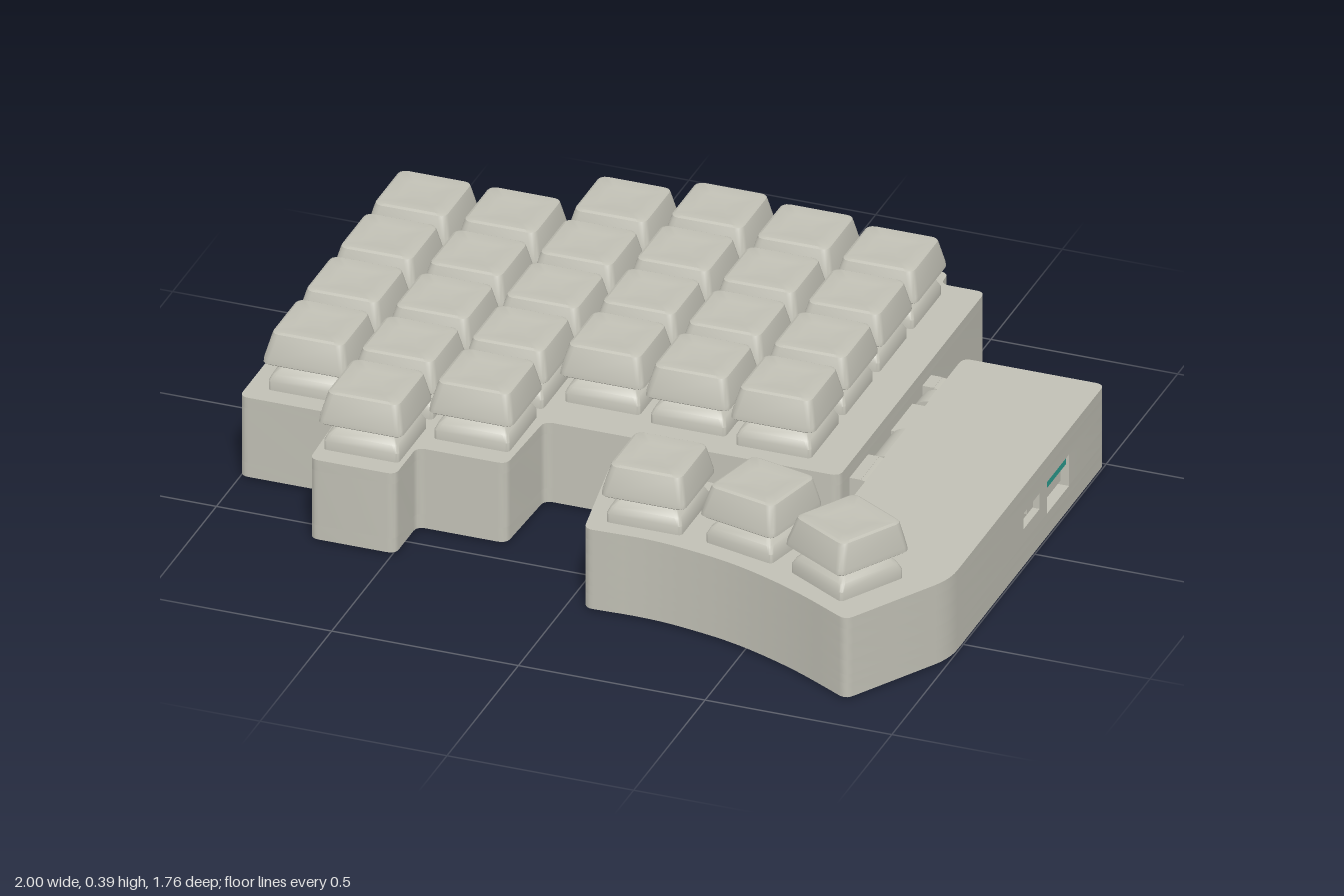
import * as THREE from 'three';
import { toCreasedNormals } from 'three/addons/utils/BufferGeometryUtils.js';

const body = new THREE.MeshStandardMaterial({ color: 0xc1c0b5 });
body.name = 'warm grey plastic';
const teal = new THREE.MeshStandardMaterial({ color: 0x2a9d8f });
teal.name = 'teal circuit board';

function add(parent, name, geo, mat = body) {
  const m = new THREE.Mesh(geo, mat);
  m.name = name;
  parent.add(m);
  return m;
}

function block(parent, name, x0, x1, y0, y1, z0, z1, mat = body) {
  const m = add(parent, name, new THREE.BoxGeometry(x1 - x0, y1 - y0, z1 - z0), mat);
  m.position.set((x0 + x1) / 2, (y0 + y1) / 2, (z0 + z1) / 2);
  return m;
}

// Polygon of [x, z, radius] corners with rounded corners
function roundedShape(pts, radius) {
  const s = new THREE.Shape();
  const n = pts.length;
  const V = (p) => new THREE.Vector2(p[0], p[1]);
  pts.forEach((p, i) => {
    const c = V(p), a = V(pts[(i + n - 1) % n]), b = V(pts[(i + 1) % n]);
    const r = Math.min(p[2] ?? radius, c.distanceTo(a) * 0.45, c.distanceTo(b) * 0.45);
    const start = c.clone().add(a.sub(c).setLength(r));
    const end = c.clone().add(b.sub(c).setLength(r));
    if (i === 0) s.moveTo(start.x, start.y); else s.lineTo(start.x, start.y);
    if (r > 0) s.quadraticCurveTo(c.x, c.y, end.x, end.y);
  });
  s.closePath();
  return s;
}

// Horizontal slab between two heights
function slab(parent, name, pts, y0, y1, radius = 0.025) {
  const g = new THREE.ExtrudeGeometry(roundedShape(pts, radius), { depth: y1 - y0, bevelEnabled: false, curveSegments: 5 });
  g.rotateX(Math.PI / 2);
  g.translate(0, y1, 0);
  add(parent, name, toCreasedNormals(g, 0.6));
}

// Loft through rounded squares [y, halfSize, radius, zShift], closed at both ends
function squareLoft(rings) {
  const pos = [], idx = [], per = 4, n = per * 4;
  for (const [y, h, r, dz = 0] of rings) {
    for (let q = 0; q < 4; q++) for (let k = 0; k < per; k++) {
      const a = (q + k / (per - 1)) * Math.PI / 2;
      const sx = q === 0 || q === 3 ? 1 : -1, sz = q < 2 ? 1 : -1;
      pos.push(sx * (h - r) + r * Math.cos(a), y, sz * (h - r) + r * Math.sin(a) + dz);
    }
  }
  for (let j = 0; j < rings.length - 1; j++) for (let i = 0; i < n; i++) {
    const a = j * n + i, b = j * n + (i + 1) % n;
    idx.push(a, a + n, b, b, a + n, b + n);
  }
  const last = (rings.length - 1) * n;
  for (let i = 1; i < n - 1; i++) {
    idx.push(0, i, i + 1);
    idx.push(last, last + i + 1, last + i);
  }
  const g = new THREE.BufferGeometry();
  g.setAttribute('position', new THREE.Float32BufferAttribute(pos, 3));
  g.setIndex(idx);
  return toCreasedNormals(g, 0.6);
}

const capGeo = squareLoft([
  [0.302, 0.108, 0.015], [0.306, 0.113, 0.018], [0.318, 0.112, 0.018], [0.372, 0.099, 0.02, -0.004],
  [0.382, 0.096, 0.02, -0.005], [0.386, 0.089, 0.02, -0.005], [0.382, 0.055, 0.02, -0.005], [0.38, 0.02, 0.01, -0.005],
]);
const switchGeo = squareLoft([
  [0.222, 0.101, 0.01], [0.25, 0.101, 0.01], [0.268, 0.093, 0.012], [0.283, 0.08, 0.012],
  [0.294, 0.062, 0.012], [0.304, 0.055, 0.012],
]);

function key(parent, x, z, turn = 0) {
  const g = new THREE.Group();
  g.name = 'key';
  g.position.set(x, 0, z);
  g.rotation.y = turn;
  add(g, 'keySwitch', switchGeo);
  add(g, 'keycap', capGeo);
  parent.add(g);
}

// Board, socket and side walls seen inside a rear opening
function rearSocket(parent, x, z) {
  block(parent, 'socketBoard', x - 0.05, x + 0.05, 0.15, 0.185, z + 0.012, z + 0.11, teal);
  block(parent, 'socketBody', x - 0.045, x + 0.045, 0.105, 0.15, z + 0.03, z + 0.11);
  for (const s of [-1, 1]) block(parent, 'socketSide', x + s * 0.04 - 0.008, x + s * 0.04 + 0.008, 0.04, 0.11, z + 0.03, z + 0.11);
}

function screws(parent, list) {
  for (const [x, z] of list) {
    const m = add(parent, 'screwHead', new THREE.SphereGeometry(0.017, 12, 8));
    m.scale.y = 0.5;
    m.position.set(x, 0.002, z);
  }
}

function mainHalf() {
  const g = new THREE.Group();
  g.name = 'mainKeyPad';
  const notch = [[0.28, -0.89, 0], [0.28, -0.77, 0], [0.38, -0.77, 0], [0.38, -0.89, 0]];
  const outline = (open) => [
    [-1, -0.68], [-0.49, -0.68], [-0.485, -0.83], [-0.245, -0.83], [-0.24, -0.89], [-0.005, -0.89], [0, -0.86],
    [0.21, -0.86], [0.235, -0.89], ...(open ? notch : []), [0.43, -0.89], [0.43, -0.83], [0.55, -0.83], [0.55, 0.19],
    [-0.24, 0.19], [-0.25, 0.43], [-0.49, 0.43], [-0.49, 0.58], [-0.72, 0.58], [-0.73, 0.34], [-1, 0.34],
  ];
  slab(g, 'caseBottom', outline(false), 0, 0.04);
  slab(g, 'caseWalls', outline(true), 0.04, 0.195);
  slab(g, 'caseTop', outline(false), 0.195, 0.226);
  rearSocket(g, 0.33, -0.89);
  // Staggered key columns: x, first z, count
  const columns = [[-0.845, -0.535, 4], [-0.605, -0.535, 5], [-0.367, -0.685, 5], [-0.13, -0.742, 4], [0.11, -0.715, 4], [0.35, -0.685, 4]];
  for (const [x, z, count] of columns) for (let i = 0; i < count; i++) key(g, x, z + i * 0.239);
  screws(g, [[0.25, -0.68], [0.24, -0.21], [-0.235, -0.21], [-0.73, -0.43], [-0.73, 0.04]]);
  return g;
}

function thumbHalf() {
  const g = new THREE.Group();
  g.name = 'thumbCluster';
  const rear = [[0.82, -0.49, 0], [0.82, -0.37, 0], [0.92, -0.37, 0], [0.92, -0.49, 0]];
  const sidePort = (z0, z1) => [[1, z0, 0], [0.9, z0, 0], [0.9, z1, 0], [1, z1, 0]];
  const outline = (back, usb, slider) => [
    [0.62, -0.49], ...(back ? rear : []), [1, -0.49], ...(usb ? sidePort(-0.24, -0.085) : []),
    ...(slider ? sidePort(-0.035, 0.08) : []), [1, 0.59, 0.05], [0.83, 0.88],
    [0.65, 0.78, 0.1], [0.46, 0.705, 0.1], [0.24, 0.665, 0.1], [0.05, 0.672],
    [-0.008, 0.325], [0.22, 0.33, 0.1], [0.44, 0.358, 0.1], [0.62, 0.402, 0.03],
  ];
  // Slabs with the openings that each height crosses
  const layers = [[0, 0.04, 0, 0, 0], [0.04, 0.065, 1, 0, 0], [0.065, 0.105, 1, 1, 0], [0.105, 0.15, 1, 1, 1],
    [0.15, 0.155, 1, 1, 0], [0.155, 0.195, 1, 0, 0], [0.195, 0.226, 0, 0, 0]];
  for (const [y0, y1, ...open] of layers) slab(g, 'thumbCase', outline(...open), y0, y1);
  rearSocket(g, 0.87, -0.49);
  // Side connector and slide switch
  block(g, 'usbBoard', 0.9, 0.992, 0.126, 0.148, -0.24, -0.085, teal);
  block(g, 'usbConnector', 0.9, 0.985, 0.088, 0.126, -0.22, -0.105);
  block(g, 'slideSwitch', 0.9, 0.985, 0.112, 0.138, -0.025, 0.07);
  block(g, 'slideKnob', 0.98, 0.996, 0.13, 0.146, 0, 0.045);
  key(g, 0.19, 0.52);
  key(g, 0.48, 0.555, -0.24);
  key(g, 0.75, 0.66, -0.53);
  screws(g, [[0.94, -0.43], [0.74, -0.43], [0.64, 0.57], [0.07, 0.38]]);
  return g;
}

// Hinge knuckles on an axle between the two cases
function hinge() {
  const g = new THREE.Group();
  g.name = 'hinge';
  const barrel = (name, r, z0, z1, x = 0.588, y = 0.13) => {
    const geo = new THREE.CylinderGeometry(r, r, z1 - z0, 24).rotateX(Math.PI / 2);
    add(g, name, geo).position.set(x, y, (z0 + z1) / 2);
  };
  barrel('hingeAxle', 0.025, -0.45, 0.12);
  for (const [z0, z1, toMain] of [[-0.45, -0.39, 1], [-0.385, -0.32, 0], [-0.17, -0.015, 0], [-0.01, 0.12, 1]]) {
    barrel('hingeKnuckle', 0.055, z0, z1, toMain ? 0.575 : 0.597);
    block(g, 'hingeLeaf', toMain ? 0.54 : 0.59, toMain ? 0.58 : 0.64, 0.075, 0.185, z0, z1);
  }
  block(g, 'hingeBar', 0.54, 0.592, 0.09, 0.17, -0.32, -0.17);
  // Fastener studs on the end plate
  for (let i = 0; i < 3; i++) {
    const a = Math.PI / 2 + i * Math.PI * 2 / 3;
    barrel('hingeStud', 0.012, -0.46, -0.44, 0.575 + 0.032 * Math.cos(a), 0.13 + 0.032 * Math.sin(a));
  }
  return g;
}

export function createModel() {
  const model = new THREE.Group();
  model.name = 'splitKeyboard';
  model.add(mainHalf(), thumbHalf(), hinge());
  return model;
}
